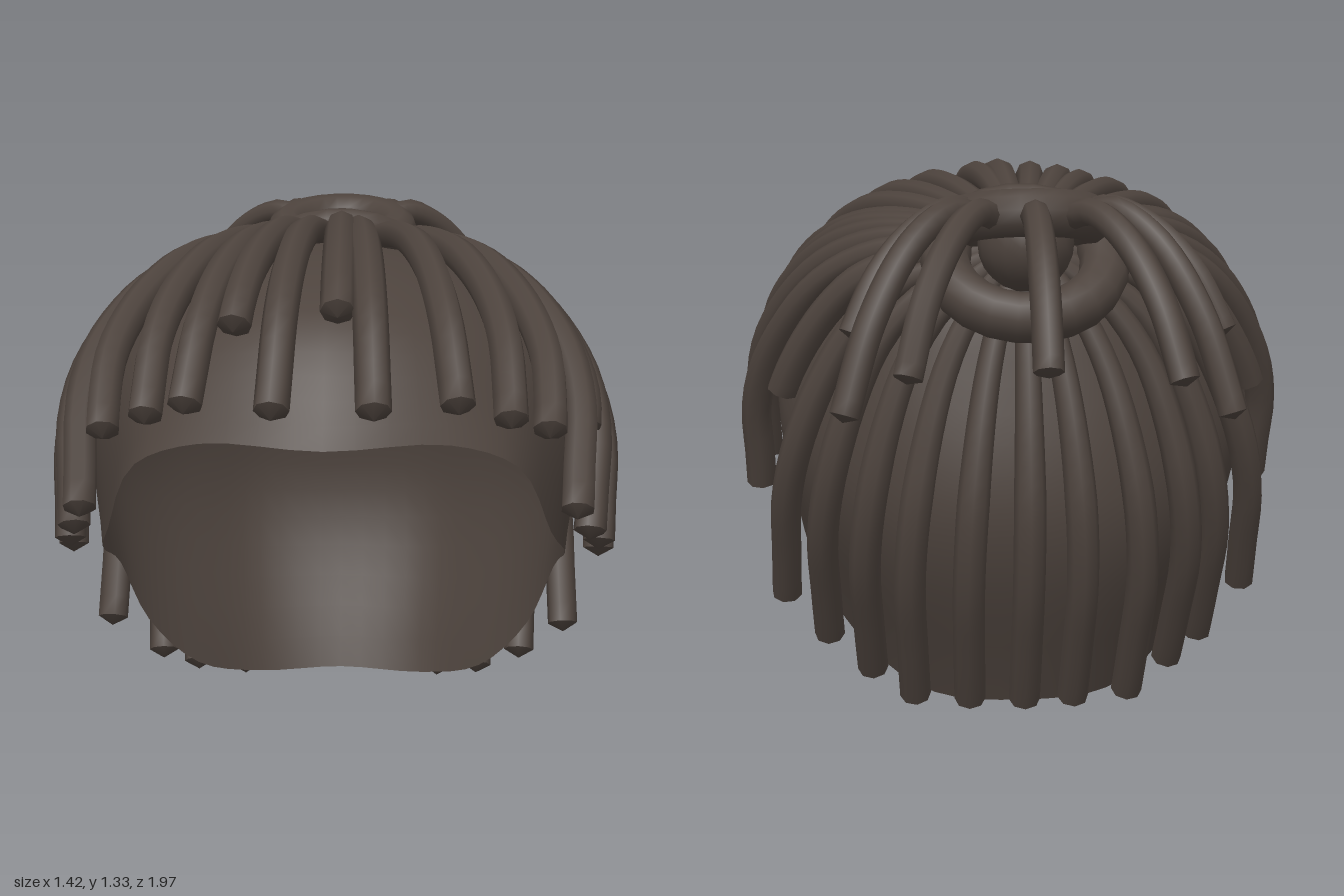
import * as THREE from 'three';
import { toCreasedNormals } from 'three/addons/utils/BufferGeometryUtils.js';

const V = (x, y, z) => new THREE.Vector3(x, y, z);

// Half rings of the scalp cap, from the forehead round the left side to the nape
const APEX = V(0, 1.17, -0.33);
const SHOULDER = [
  [0, 1.25, 0.22], [0.16, 1.23, 0.2], [0.28, 1.2, 0.13], [0.36, 1.15, 0.03], [0.4, 1.1, -0.08],
  [0.39, 1.05, -0.18], [0.33, 1.0, -0.27], [0.25, 0.96, -0.34], [0.14, 0.92, -0.39], [0, 0.9, -0.41],
];
const BELLY = [
  [0, 1.15, 0.7], [0.24, 1.12, 0.65], [0.42, 1.05, 0.54], [0.54, 0.94, 0.37], [0.6, 0.82, 0.15],
  [0.59, 0.72, -0.04], [0.51, 0.62, -0.2], [0.39, 0.54, -0.33], [0.23, 0.5, -0.44], [0, 0.49, -0.475],
];
const RIM = [
  [0, 0.88, 0.93], [0.27, 0.88, 0.85], [0.42, 0.82, 0.78], [0.51, 0.63, 0.6], [0.57, 0.5, 0.28],
  [0.56, 0.41, 0.07], [0.5, 0.24, 0.0], [0.38, 0.09, -0.1], [0.22, 0.02, -0.25], [0, 0.015, -0.31],
];

// Close a half ring by mirroring it across x = 0
function ring(half) {
  const left = half.map((p) => V(...p));
  const right = left.slice(1, -1).reverse().map((p) => V(-p.x, p.y, p.z));
  return new THREE.CatmullRomCurve3([...left, ...right], true);
}
const rings = [SHOULDER, BELLY, RIM].map(ring);

// Meridian of the cap at ring position k (0 = forehead, 9 = nape, 18 = forehead again)
function meridian(k) {
  const u = (((k % 18) + 18) % 18) / 18;
  return new THREE.CatmullRomCurve3([APEX, ...rings.map((r) => r.getPoint(u))]);
}

function capGeometry(cols = 72, rows = 18) {
  const pos = [], idx = [];
  for (let i = 0; i < cols; i++) {
    const m = meridian((i / cols) * 18);
    for (let j = 0; j <= rows; j++) pos.push(...m.getPoint(j / rows).toArray());
  }
  for (let i = 0; i < cols; i++) {
    for (let j = 0; j < rows; j++) {
      const a = i * (rows + 1) + j, b = ((i + 1) % cols) * (rows + 1) + j;
      if (j > 0) idx.push(a, a + 1, b);
      idx.push(b, a + 1, b + 1);
    }
  }
  const g = new THREE.BufferGeometry();
  g.setAttribute('position', new THREE.Float32BufferAttribute(pos, 3));
  g.setIndex(idx);
  g.computeVertexNormals();
  return g;
}

// Rope-like lock: thin at the root, full along its length, with blunt closed ends
function lockGeometry(points, radius, rootScale, segs = 26, sides = 8) {
  const path = new THREE.CatmullRomCurve3(points);
  const g = new THREE.TubeGeometry(path, segs, radius, sides, false);
  const p = g.attributes.position, v = new THREE.Vector3();
  for (let i = 0; i <= segs; i++) {
    const t = i / segs, c = path.getPointAt(t), end = i === 0 || i === segs;
    const s = end ? 0 : Math.min(1, rootScale + (1 - rootScale) * t * 2);
    const target = i === segs ? c.clone().lerp(path.getPointAt((segs - 1) / segs), 0.55) : c;
    for (let j = 0; j <= sides; j++) {
      const n = i * (sides + 1) + j;
      v.fromBufferAttribute(p, n).sub(c).multiplyScalar(s).add(target);
      p.setXYZ(n, v.x, v.y, v.z);
    }
  }
  return toCreasedNormals(g, 0.9);
}

// Lock lying on the cap along meridian k, ending at fraction end
function scalpLock(k, end, flick) {
  const m = meridian(k), center = V(0, 0.6, 0.1), pts = [];
  for (let i = 0; i <= 8; i++) {
    const t = i / 8;
    const p = m.getPoint(0.03 + (end - 0.03) * t);
    const out = p.clone().sub(center).normalize();
    pts.push(p.addScaledVector(out, 0.025 + 0.02 * Math.min(1, t * 2.5) + flick * t ** 4));
  }
  return lockGeometry(pts, 0.039, 0.6);
}

export function createModel() {
  const model = new THREE.Group();
  model.name = 'hair';
  const hair = new THREE.MeshStandardMaterial({ color: 0x4d433d });
  hair.name = 'darkBrownHair';
  hair.side = THREE.DoubleSide;

  const add = (parent, name, geometry) => {
    const mesh = new THREE.Mesh(geometry, hair);
    mesh.name = name;
    parent.add(mesh);
    return mesh;
  };

  add(model, 'scalpCap', capGeometry());

  // Locks swept from the bun to the hairline: [ring position, end, flick]
  const locks = new THREE.Group();
  locks.name = 'scalpLocks';
  model.add(locks);
  const layout = [
    [0.36, 0.98, 0.035], [1.0, 0.97, 0.03], [1.65, 0.97, 0.02], [2.25, 0.93, 0.02], [2.9, 1, 0.04],
    [3.45, 1, 0.03], [3.95, 1, 0.04], [4.5, 1, 0.05], [5.95, 1, 0.07], [6.6, 1, 0.03],
    [7.25, 1, 0.01], [7.85, 1, 0.01], [8.45, 0.99, 0],
  ];
  layout.forEach(([k, end, flick], i) => {
    add(locks, 'leftLock', scalpLock(k, end, flick));
    add(locks, 'rightLock', scalpLock(-k - 0.08 * Math.sin(i * 2.3), end, flick));
  });
  add(locks, 'napeLock', scalpLock(9, 0.99, 0));
  // Shorter stray locks
  [[-0.75, 0.77], [0.1, 0.74], [3.2, 0.8], [-3.15, 0.78], [-5.2, 0.62], [5.25, 0.62]]
    .forEach(([k, end]) => add(locks, 'shortLock', scalpLock(k, end, 0)));

  // Bun: two coiled rings tilted against each other round a ball
  const bun = new THREE.Group();
  bun.name = 'bun';
  model.add(bun);
  const coil = (name, R, r, y, z, tilt) => {
    const mesh = add(bun, name, new THREE.TorusGeometry(R, r, 10, 22));
    mesh.position.set(0, y, z);
    mesh.rotation.x = -Math.PI / 2 + tilt;
  };
  coil('lowerCoil', 0.19, 0.06, 1.135, -0.37, -0.64);
  coil('upperCoil', 0.15, 0.056, 1.235, -0.4, 0.22);
  const ball = add(bun, 'bunCore', new THREE.SphereGeometry(0.115, 18, 12));
  ball.position.set(0, 1.18, -0.39);

  // Ponytail locks fanning backwards and drooping from the upper coil
  const tail = new THREE.Group();
  tail.name = 'ponytail';
  model.add(tail);
  const tips = [
    [0, 0.95, -0.985], [0.3, 0.92, -0.875], [-0.31, 0.91, -0.895], [0.44, 0.82, -0.8],
    [-0.44, 0.81, -0.78], [0.42, 0.99, -0.68], [-0.43, 0.99, -0.69],
  ];
  tips.forEach(([x, y, z]) => {
    const at = (f, h) => V(x * f, h, -0.41 + (z + 0.41) * f);
    const drop = 1.28 - y;
    add(tail, 'tailLock', lockGeometry(
      [at(0.25, 1.25), at(0.42, 1.275), at(0.62, 1.275 - drop * 0.13), at(0.83, 1.28 - drop * 0.48), V(x, y, z)],
      0.034, 0.9, 20));
  });

  return model;
}
